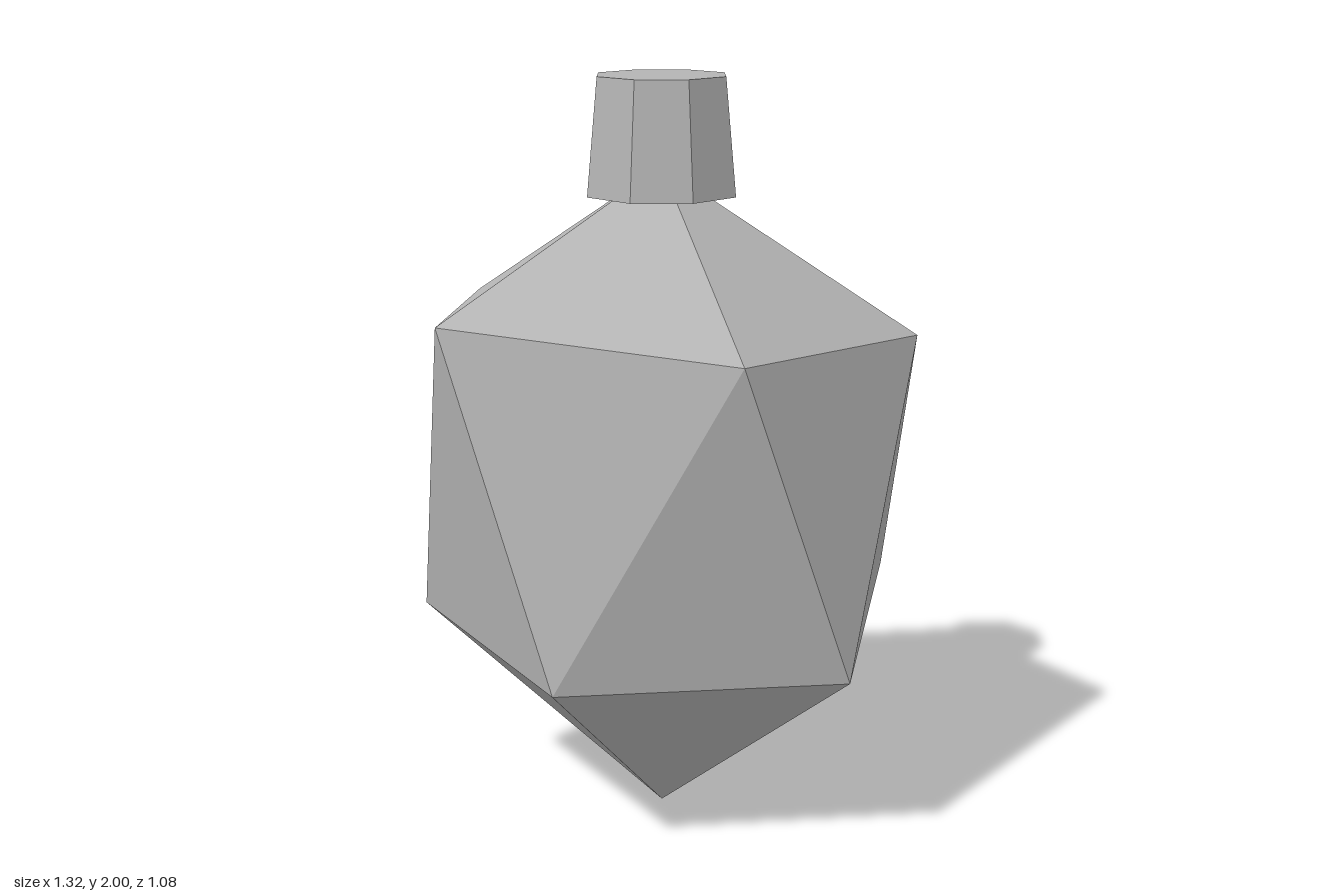
import * as THREE from 'three';

export function createModel() {
  const group = new THREE.Group();
  const grey = new THREE.MeshStandardMaterial({ color: 0xb4b4b4, flatShading: true });
  grey.name = 'plain grey';

  // Irregular twenty-sided body: two staggered rings of five points and two tips
  const top = [-0.01, 1.77, 0.035];
  const tip = [-0.01, 0, 0.035];
  const upper = [
    [-0.55, 1.38, -0.3], [0.23, 1.345, -0.5], [0.655, 1.34, 0.035],
    [0.23, 1.36, 0.54], [-0.545, 1.405, 0.355],
  ];
  const lower = [
    [-0.22, 0.58, -0.54], [0.59, 0.6, -0.305], [0.5, 0.51, 0.39],
    [-0.24, 0.51, 0.54], [-0.66, 0.565, 0.035],
  ];
  const points = [];
  for (let i = 0; i < 5; i++) {
    const j = (i + 1) % 5;
    points.push(
      ...top, ...upper[j], ...upper[i],
      ...upper[i], ...upper[j], ...lower[i],
      ...upper[j], ...lower[j], ...lower[i],
      ...lower[i], ...lower[j], ...tip,
    );
  }
  const bodyGeometry = new THREE.BufferGeometry();
  bodyGeometry.setAttribute('position', new THREE.Float32BufferAttribute(points, 3));
  bodyGeometry.computeVertexNormals();
  const body = new THREE.Mesh(bodyGeometry, grey);
  body.name = 'facetedBody';
  group.add(body);

  // Tapered eight-sided cap over the upper point
  const cap = new THREE.Mesh(new THREE.CylinderGeometry(0.175, 0.204, 0.3, 8), grey);
  cap.name = 'cap';
  cap.position.set(-0.01, 1.85, 0.035);
  cap.rotation.y = THREE.MathUtils.degToRad(27.5);
  group.add(cap);

  return group;
}
